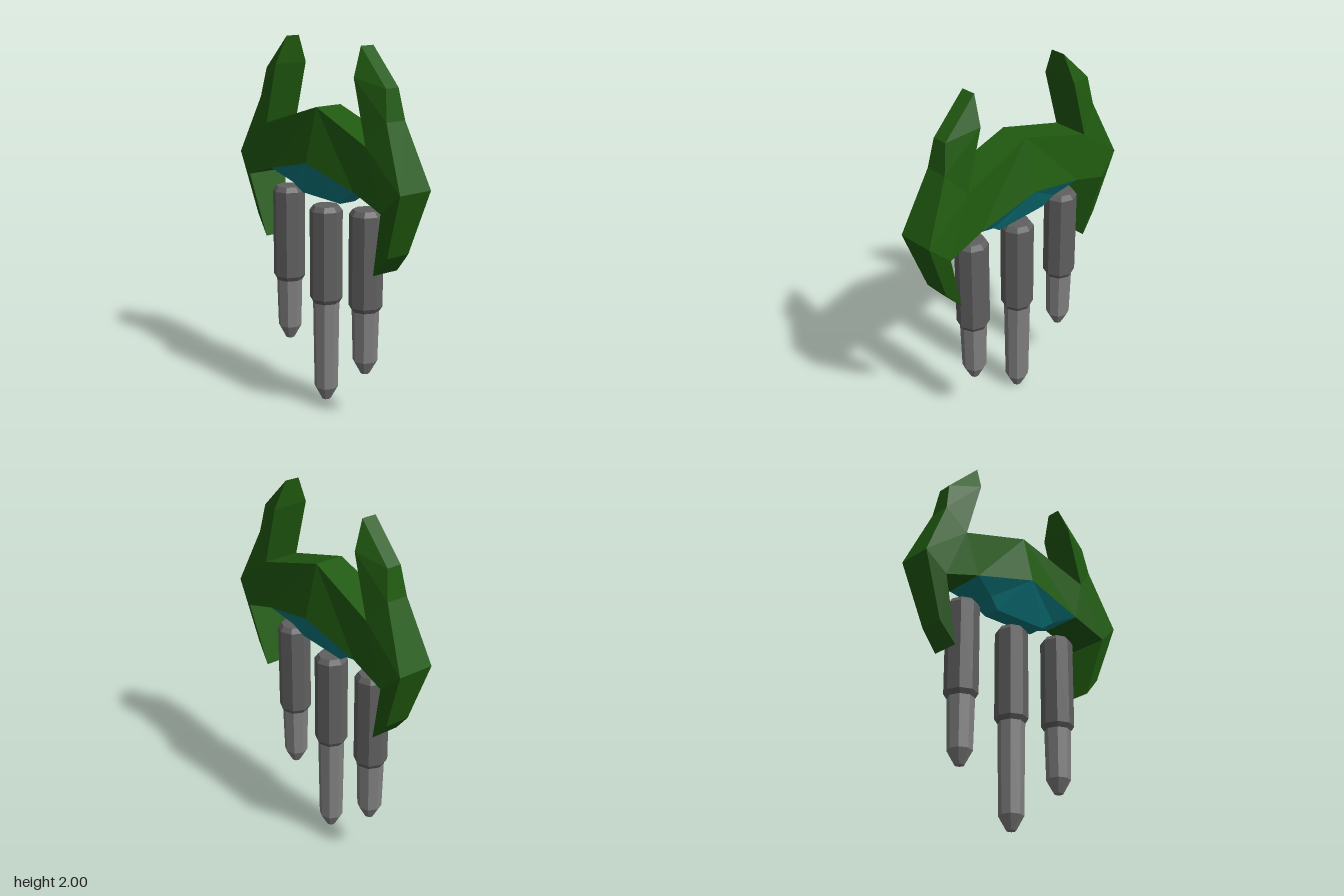
import * as THREE from 'three';

const material = (color) =>
  new THREE.MeshStandardMaterial({ color, flatShading: true, side: THREE.DoubleSide });

// Faceted slab: half outline points [x, y, halfDepth], counter-clockwise face
// triangles and the rim path; mirrored front/back and left/right.
function facetedSlab(points, faces, rim) {
  const positions = [];
  const add = (corners, sx) => {
    const order = sx > 0 ? corners : [...corners].reverse();
    for (const [i, sz] of order) {
      const [x, y, z] = points[i];
      positions.push(x * sx, y, z * sz);
    }
  };
  for (const sx of [1, -1]) {
    for (const [a, b, c] of faces) {
      add([[a, 1], [b, 1], [c, 1]], sx);
      add([[c, -1], [b, -1], [a, -1]], sx);
    }
    for (let i = 0; i < rim.length - 1; i++) {
      const a = rim[i], b = rim[i + 1];
      add([[a, 1], [a, -1], [b, -1]], sx);
      add([[a, 1], [b, -1], [b, 1]], sx);
    }
  }
  const geometry = new THREE.BufferGeometry();
  geometry.setAttribute('position', new THREE.Float32BufferAttribute(positions, 3));
  geometry.computeVertexNormals();
  return geometry;
}

// Eight-sided turned part, profile from bottom to top
function turned(name, profile, mat) {
  const points = profile.map(([r, y]) => new THREE.Vector2(r, y));
  const mesh = new THREE.Mesh(new THREE.LatheGeometry(points, 8), mat);
  mesh.name = name;
  return mesh;
}

export function createModel() {
  const model = new THREE.Group();
  model.name = 'hornedCrest';

  // Arched bar with upswept horns and downswept hooks
  const crest = new THREE.Mesh(
    facetedSlab(
      [
        [0, 1.66, 0.08], [0.43, 1.52, 0.1], [0.335, 1.85, 0.1], [0.315, 2, 0.04],
        [0.51, 1.81, 0.04], [0.54, 1.65, 0.06], [0.695, 1.32, 0.1], [0.57, 0.97, 0.07],
        [0.475, 0.86, 0.08], [0.575, 1.21, 0.12], [0.36, 1.28, 0.12], [0, 1.37, 0.15],
      ],
      [
        [0, 11, 10], [0, 10, 1], [1, 10, 9], [1, 9, 6], [1, 6, 5],
        [1, 5, 2], [2, 5, 4], [2, 4, 3], [6, 9, 7], [7, 9, 8],
      ],
      [11, 10, 9, 8, 7, 6, 5, 4, 3, 2, 1, 0]
    ),
    material(0x205a10)
  );
  crest.name = 'crest';
  model.add(crest);

  // Gem set under the arch, tapering to a narrow flat base
  const gem = new THREE.Mesh(
    facetedSlab(
      [[0, 1.37, 0.15], [0.36, 1.28, 0.12], [0.23, 1.22, 0.07], [0.165, 1.17, 0.05], [0, 1.17, 0.05]],
      [[0, 4, 3], [0, 3, 2], [0, 2, 1]],
      [4, 3, 2, 1]
    ),
    material(0x0c7a80)
  );
  gem.name = 'gem';
  model.add(gem);

  // Three hanging pegs: thick sleeve above, slim pointed rod below
  const sleeveMaterial = material(0x606060);
  const rodMaterial = material(0x808080);
  const pegs = [
    ['rightPeg', -0.365, 1.165, 0.265],
    ['middlePeg', -0.02, 1.12, 0],
    ['leftPeg', 0.32, 1.165, 0.265],
  ];
  for (const [name, x, top, tip] of pegs) {
    const peg = new THREE.Group();
    peg.name = name;
    peg.position.x = x;
    peg.add(
      turned('sleeve', [
        [0, top - 0.545], [0.075, top - 0.545], [0.09, top - 0.52],
        [0.09, top - 0.027], [0.07, top], [0, top],
      ], sleeveMaterial),
      turned('rod', [
        [0, tip], [0.025, tip], [0.066, tip + 0.075], [0.073, top - 0.54],
      ], rodMaterial)
    );
    model.add(peg);
  }
  return model;
}
